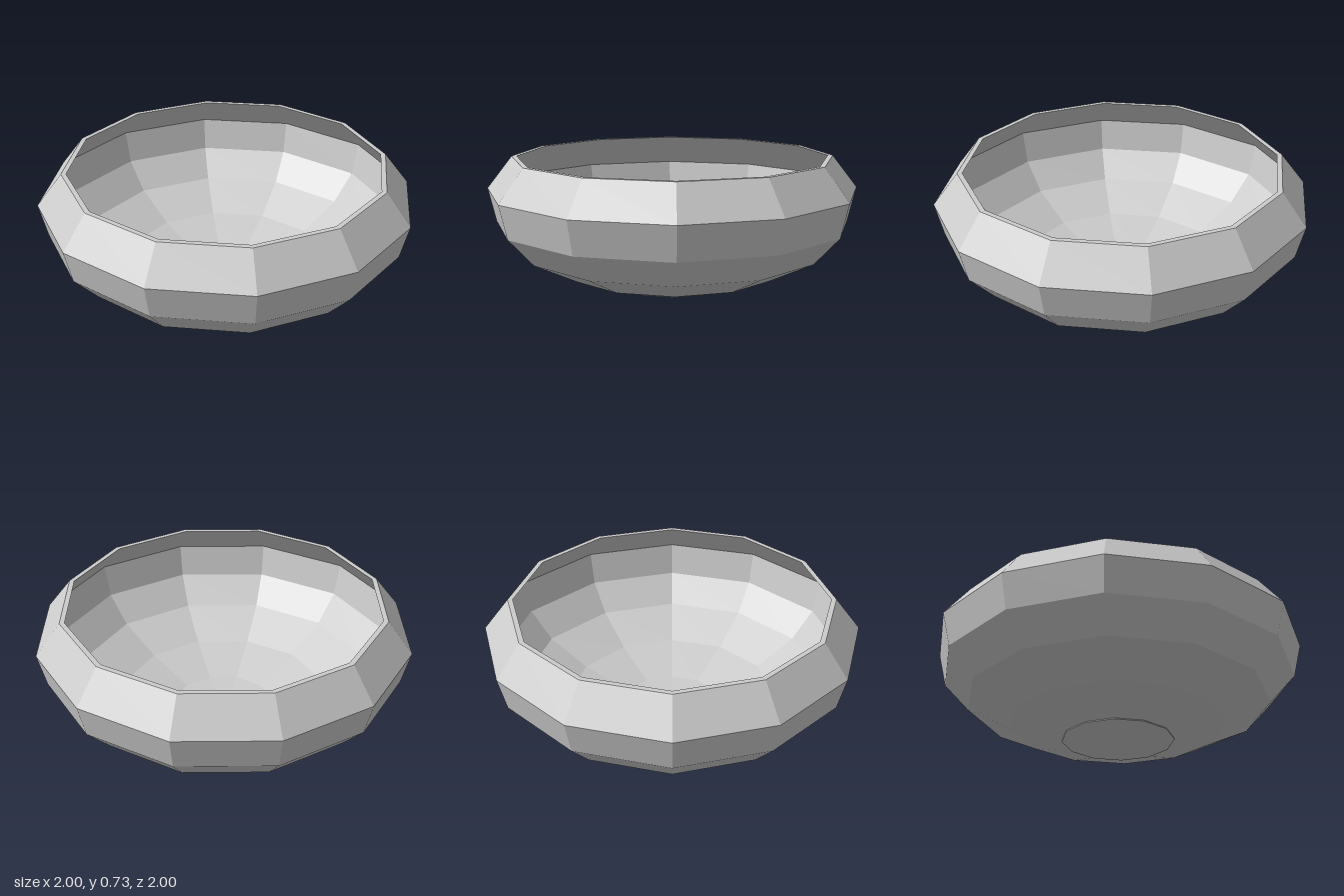
import * as THREE from 'three';

const SIDES = 12;

// Faceted ring of walls turned from a [radius, height] profile
function turned(name, profile) {
  const points = profile.map(([r, y]) => new THREE.Vector2(r, y));
  const material = new THREE.MeshStandardMaterial({
    color: 0xcccccc, flatShading: true, side: THREE.DoubleSide,
  });
  const mesh = new THREE.Mesh(new THREE.LatheGeometry(points, SIDES), material);
  mesh.name = name;
  return mesh;
}

export function createModel() {
  const bowl = new THREE.Group();
  bowl.name = 'bowl';

  // Shallow pointed base disc with a small step at its edge
  bowl.add(turned('base', [[0, 0], [0.285, 0.021], [0.3, 0.021], [0.3, 0.026]]));

  // Rounded outside, folding inwards above the widest ring
  bowl.add(turned('outerWall', [
    [0.3, 0.026], [0.58, 0.104], [0.82, 0.222], [0.957, 0.372], [1, 0.553], [0.865, 0.727],
  ]));

  // Narrow flat lip around the opening
  bowl.add(turned('rim', [[0.865, 0.727], [0.838, 0.727]]));

  // Thin inner skin following the outside down to the centre
  bowl.add(turned('innerWall', [
    [0.838, 0.727], [0.988, 0.553], [0.95, 0.376], [0.817, 0.229],
    [0.579, 0.112], [0.298, 0.034], [0, 0.01],
  ]));

  return bowl;
}
